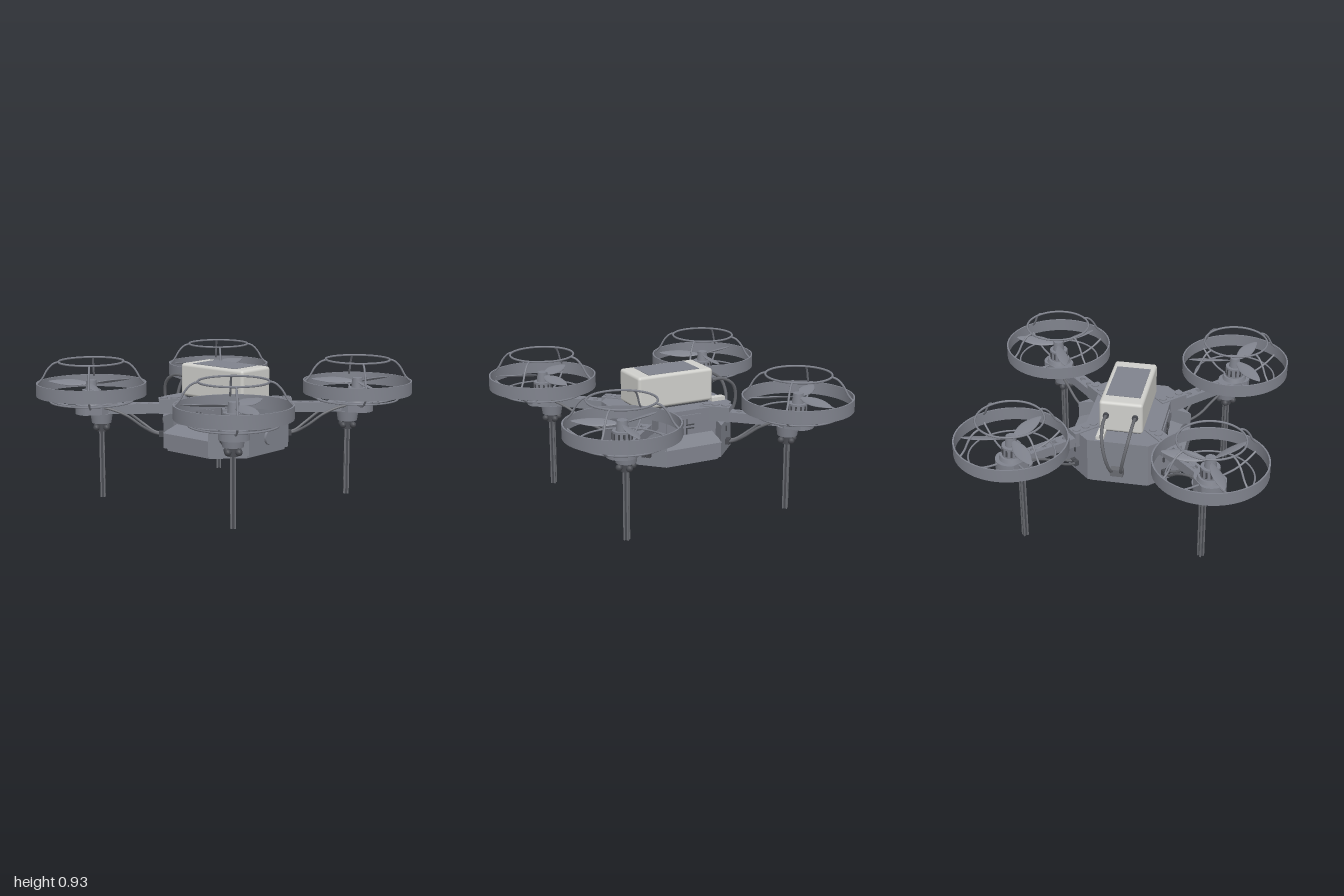
import * as THREE from 'three';
import { toCreasedNormals } from 'three/addons/utils/BufferGeometryUtils.js';
import { RoundedBoxGeometry } from 'three/addons/geometries/RoundedBoxGeometry.js';

const paint = (name, color) => {
  const m = new THREE.MeshStandardMaterial({ color });
  m.name = name;
  return m;
};
const V = (x, y, z) => new THREE.Vector3(x, y, z);

export function createModel() {
  const grey = paint('body grey', 0x80838d);
  const white = paint('battery white', 0xcfcfcb);
  const cableGrey = paint('cable grey', 0x686a70);
  const dark = paint('dark metal', 0x484a50);
  const model = new THREE.Group();
  model.name = 'quadcopter';

  const add = (parent, name, geo, mat, x = 0, y = 0, z = 0) => {
    const m = new THREE.Mesh(geo, mat);
    m.name = name;
    m.position.set(x, y, z);
    parent.add(m);
    return m;
  };
  const box = (w, h, d) => new THREE.BoxGeometry(w, h, d);
  const cyl = (r1, r2, h, n = 24) => new THREE.CylinderGeometry(r1, r2, h, n);
  const tube = (pts, r, n = 24) =>
    new THREE.TubeGeometry(new THREE.CatmullRomCurve3(pts.map(p => V(...p))), n, r, 6);
  // Extrudes a plan outline upwards
  const slab = (shape, h) =>
    new THREE.ExtrudeGeometry(shape, { depth: h, bevelEnabled: false, curveSegments: 12 }).rotateX(-Math.PI / 2);
  // Completes an outline from the points of its first quadrant
  const fourfold = q => {
    const r = [...q].reverse();
    return new THREE.Shape([
      ...q, ...r.map(([x, y]) => [-x, y]), ...q.map(([x, y]) => [-x, -y]), ...r.map(([x, y]) => [x, -y]),
    ].map(p => new THREE.Vector2(...p)));
  };

  // Hull: octagonal tray, notched middle, raised ends
  const hull = new THREE.Group();
  hull.name = 'hull';
  model.add(hull);
  const octagon = [[0.39, 0.2], [0.2, 0.385]];
  add(hull, 'lowerHull', slab(fourfold(octagon), 0.1), grey, 0, 0.36);
  add(hull, 'bellyPlate', slab(fourfold([[0.365, 0.19], [0.19, 0.36]]), 0.02), grey, 0, 0.34);
  add(hull, 'middleHull', slab(fourfold([[0.25, 0.24], [0.39, 0.2], [0.2, 0.385]]), 0.115), grey, 0, 0.46);
  add(hull, 'upperHull', slab(fourfold([[0.25, 0.24], [0.27, 0.317], [0.2, 0.385]]), 0.09), grey, 0, 0.575);
  const ledge = new THREE.Shape([[0.24, 0.46], [0.39, 0.46], [0.25, 0.5]].map(p => new THREE.Vector2(...p)));
  const ledgeGeo = new THREE.ExtrudeGeometry(ledge, { depth: 0.42, bevelEnabled: false }).translate(0, 0, -0.21);
  for (const s of [1, -1]) {
    const side = new THREE.Group();
    side.name = s > 0 ? 'leftSide' : 'rightSide';
    side.rotation.y = s > 0 ? 0 : Math.PI;
    hull.add(side);
    add(side, 'sideLedge', ledgeGeo, grey);
    add(side, 'sideHatch', box(0.01, 0.13, 0.26), grey, 0.253, 0.57, 0);
    // Corner brackets of the hatch vents
    for (const a of [1, -1]) for (const b of [1, -1]) {
      add(side, 'ventBar', box(0.005, 0.008, 0.055), dark, 0.26, 0.557 + b * 0.012, a * 0.042);
      add(side, 'ventBar', box(0.005, 0.045, 0.008), dark, 0.26, 0.557 + b * 0.03, a * 0.016);
    }
  }

  // Front sensor and belly cameras
  add(hull, 'frontSensor', cyl(0.05, 0.052, 0.02, 32).rotateX(Math.PI / 2), grey, 0, 0.455, 0.39);
  for (const z of [0.05, -0.07]) {
    add(hull, 'cameraBase', box(0.09, 0.012, 0.08), dark, 0, 0.335, z);
    add(hull, 'cameraLens', cyl(0.035, 0.024, 0.022), grey, 0, 0.322, z);
  }
  for (let i = 0; i < 6; i++)
    add(hull, 'bellyVent', box(0.11, 0.004, 0.007), dark, 0.17, 0.339, -0.12 + i * 0.018);

  // Battery with top panel and rear cables
  const battery = new THREE.Group();
  battery.name = 'battery';
  model.add(battery);
  add(battery, 'batteryCase', new RoundedBoxGeometry(0.285, 0.22, 0.55, 4, 0.02), white, 0, 0.785, 0);
  add(battery, 'batteryBase', box(0.25, 0.02, 0.5), dark, 0, 0.672, 0);
  add(battery, 'batteryPanel', box(0.226, 0.004, 0.375), grey, 0, 0.896, 0);
  add(battery, 'sideSocket', box(0.05, 0.03, 0.1), white, 0.12, 0.675, -0.32);
  for (const s of [1, -1]) {
    add(battery, 'powerCable', tube([[s * 0.095, 0.8, -0.27], [s * 0.095, 0.8, -0.38], [s * 0.085, 0.74, -0.47],
      [s * 0.06, 0.62, -0.5], [s * 0.035, 0.5, -0.46], [s * 0.03, 0.45, -0.39]], 0.011, 32), cableGrey);
    add(battery, 'cableCollar', cyl(0.02, 0.02, 0.025, 12).rotateX(Math.PI / 2), dark, s * 0.095, 0.8, -0.28);
  }
  add(battery, 'cablePlug', box(0.085, 0.05, 0.05), cableGrey, 0, 0.46, -0.405);

  // Arm outline with slots, running out along x
  const armShape = new THREE.Shape();
  armShape.moveTo(0.4, -0.042).lineTo(0.78, -0.038).lineTo(0.82, -0.075);
  armShape.absarc(0.9, 0, 0.1, -Math.PI * 0.4, Math.PI * 0.4, false);
  armShape.lineTo(0.82, 0.075).lineTo(0.78, 0.038).lineTo(0.4, 0.042);
  for (let i = 0; i < 4; i++) {
    const x = 0.47 + i * 0.08, hole = new THREE.Path();
    hole.absarc(x, 0, 0.018, Math.PI / 2, -Math.PI / 2, true);
    hole.lineTo(x + 0.03, -0.018);
    hole.absarc(x + 0.03, 0, 0.018, -Math.PI / 2, Math.PI / 2, false);
    armShape.holes.push(hole);
  }
  const armGeo = slab(armShape, 0.065);

  // Duct band and blade
  const band = toCreasedNormals(new THREE.LatheGeometry(
    [[0.355, 0.7], [0.365, 0.7], [0.365, 0.785], [0.355, 0.785], [0.355, 0.7]].map(p => new THREE.Vector2(...p)), 64), 0.6);
  const bladeGeo = hand => {
    const g = new THREE.SphereGeometry(1, 20, 12).rotateZ(Math.PI / 2);
    const p = g.attributes.position;
    for (let i = 0; i < p.count; i++) {
      const t = (p.getX(i) + 1) / 2;
      const w = p.getZ(i) * (0.026 + 0.018 * Math.sin(Math.PI * t));
      const pitch = hand * (0.45 - 0.25 * t);
      const h = p.getY(i) * 0.007;
      p.setXYZ(i, 0.02 + 0.3 * t, h * Math.cos(pitch) + w * Math.sin(pitch), w * Math.cos(pitch) - h * Math.sin(pitch));
    }
    g.computeVertexNormals();
    return g;
  };
  const R = 0.63 * Math.SQRT2;
  const ring = (r, t) => new THREE.TorusGeometry(r, t, 6, 64).rotateX(Math.PI / 2);

  for (let q = 0; q < 4; q++) {
    const turn = Math.PI / 4 + q * Math.PI / 2;
    const unit = new THREE.Group();
    unit.name = ['backLeft', 'backRight', 'frontRight', 'frontLeft'][q] + 'Unit';
    unit.rotation.y = turn;
    model.add(unit);

    // Arm, root bracket and bolts
    add(unit, 'arm', armGeo, grey, 0, 0.575);
    add(unit, 'armRoot', box(0.2, 0.1, 0.088), grey, 0.345, 0.622);
    for (const x of [0.28, 0.34, 0.41]) add(unit, 'armBolt', cyl(0.026, 0.026, 0.008, 20), grey, x, 0.675);
    add(unit, 'armClip', box(0.012, 0.035, 0.012), dark, 0.417, 0.52, 0.01);

    // Cables from motor down to hull
    for (const s of [1, -1]) {
      add(unit, 'motorCable', tube([[0.88, 0.62, s * 0.04], [0.78, 0.615, s * 0.06], [0.66, 0.57, s * 0.07],
        [0.55, 0.49, s * 0.06], [0.47, 0.44, s * 0.025], [0.41, 0.43, s * 0.015]], 0.009), cableGrey);
      add(unit, 'cableSocket', box(0.04, 0.035, 0.025), dark, 0.425, 0.43, s * 0.016);
    }

    // Leg with clamp, grooves and bolts
    const leg = new THREE.Group();
    leg.name = 'leg';
    leg.position.x = 0.828;
    unit.add(leg);
    add(leg, 'legSocket', cyl(0.075, 0.065, 0.065), grey, 0, 0.545);
    add(leg, 'legClamp', cyl(0.035, 0.035, 0.06, 16), dark, 0, 0.485);
    add(leg, 'legPost', box(0.024, 0.5, 0.024), dark, 0, 0.25);
    for (let k = 0; k < 4; k++) {
      const a = k * Math.PI / 2 + Math.PI / 4, c = Math.cos(a), s = Math.sin(a);
      add(leg, 'legRib', box(0.01, 0.5, 0.01), cableGrey, c * 0.017, 0.25, s * 0.017);
      add(leg, 'clampBolt', new THREE.SphereGeometry(0.022, 12, 8), dark, c * 0.048, 0.483, s * 0.048);
    }

    // Rotor: motor, hub, blades and guard
    const rotor = new THREE.Group();
    rotor.name = 'rotor';
    rotor.position.x = R;
    unit.add(rotor);
    add(rotor, 'motorBase', cyl(0.075, 0.085, 0.03), grey, 0, 0.65);
    add(rotor, 'motor', cyl(0.062, 0.062, 0.07), grey, 0, 0.7);
    for (let k = 0; k < 12; k++) {
      const a = k * Math.PI / 6;
      add(rotor, 'motorSlot', box(0.006, 0.045, 0.012), dark, Math.cos(a) * 0.061, 0.7, Math.sin(a) * 0.061).rotation.y = -a;
    }
    add(rotor, 'hub', cyl(0.033, 0.04, 0.07), grey, 0, 0.765);
    const hand = q % 2 ? 1 : -1;
    const blades = bladeGeo(hand);
    for (let k = 0; k < 3; k++)
      add(rotor, 'blade', blades, grey, 0, 0.776).rotation.y = -hand * 0.14 - turn + k * Math.PI * 2 / 3;
    add(rotor, 'ductBand', band, grey);
    add(rotor, 'upperRing', ring(0.215, 0.007), grey, 0, 0.924);
    add(rotor, 'lowerRing', ring(0.275, 0.006), grey, 0, 0.662);
    const upper = tube([[0.358, 0.775, 0], [0.325, 0.81, 0], [0.29, 0.87, 0], [0.25, 0.91, 0], [0.21, 0.924, 0]], 0.007, 16);
    const lower = tube([[0.358, 0.71, 0], [0.32, 0.685, 0], [0.275, 0.662, 0], [0.19, 0.635, 0], [0.06, 0.625, 0]], 0.007, 16);
    for (let k = 0; k < 4; k++) {
      add(rotor, 'upperStrut', upper, grey).rotation.y = k * Math.PI / 2;
      add(rotor, 'lowerStrut', lower, grey).rotation.y = k * Math.PI / 2;
    }
  }
  return model;
}
